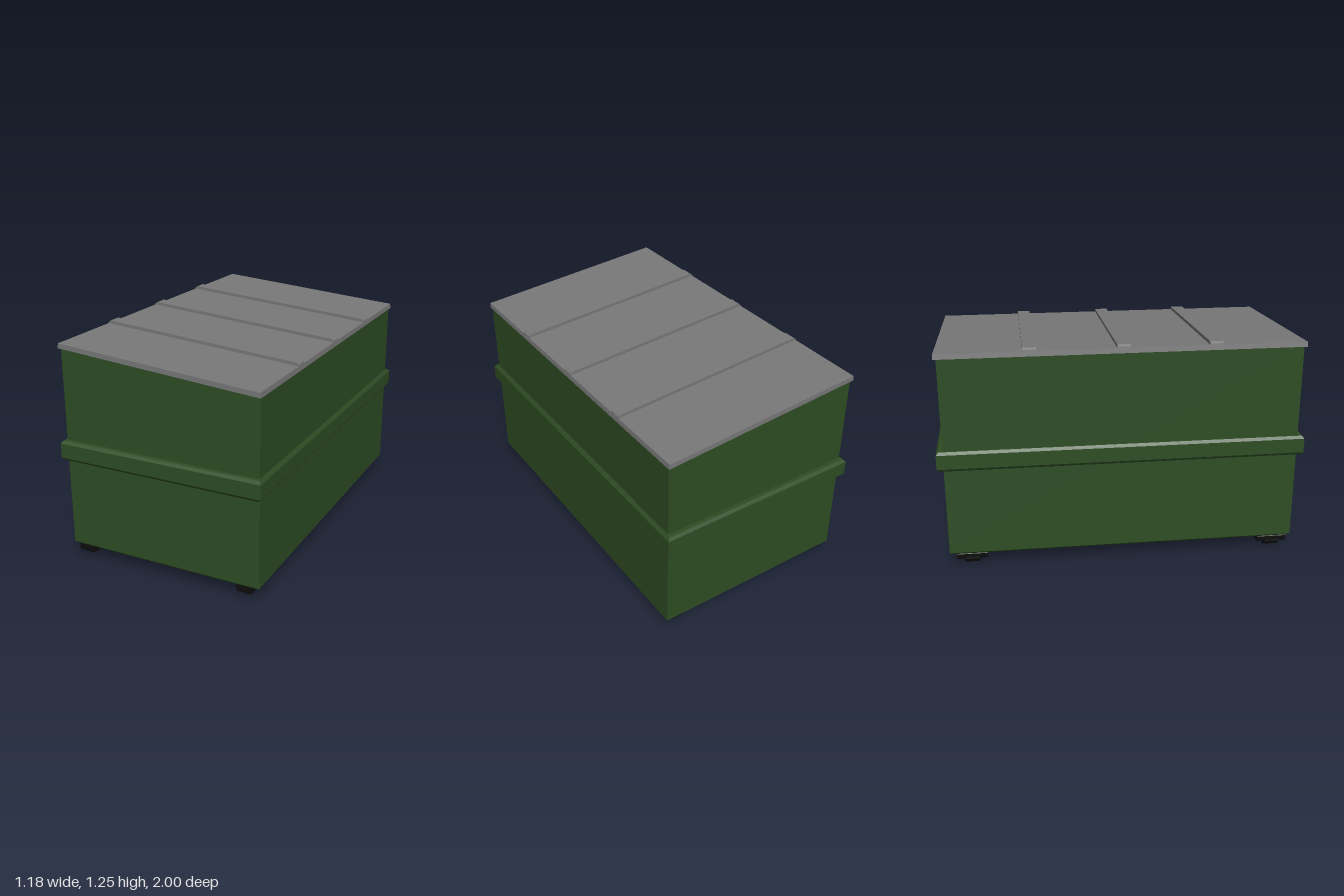
import * as THREE from 'three';

const green = new THREE.MeshStandardMaterial({ color: 0x2e4c23 });
green.name = 'dark green paint';
const grey = new THREE.MeshStandardMaterial({ color: 0x787878 });
grey.name = 'grey lid';
const black = new THREE.MeshStandardMaterial({ color: 0x0d0d0d });
black.name = 'black rubber';

// height change of the sloping top per unit of x
const SLOPE = -0.08;

function add(parent, name, geometry, material, x = 0, y = 0, z = 0) {
  const mesh = new THREE.Mesh(geometry, material);
  mesh.name = name;
  mesh.position.set(x, y, z);
  parent.add(mesh);
  return mesh;
}

// closed box-like solid through rectangular rings [y, half x, half z]
function stack(rings) {
  const pos = [];
  const corner = ([y, hx, hz], k) => [[hx, y, hz], [hx, y, -hz], [-hx, y, -hz], [-hx, y, hz]][k % 4];
  const quad = (a, b, c, d) => pos.push(...a, ...b, ...c, ...a, ...c, ...d);
  for (let i = 0; i < rings.length - 1; i++) {
    for (let k = 0; k < 4; k++) {
      quad(corner(rings[i], k), corner(rings[i], k + 1), corner(rings[i + 1], k + 1), corner(rings[i + 1], k));
    }
  }
  const lo = rings[0], hi = rings[rings.length - 1];
  quad(corner(lo, 3), corner(lo, 2), corner(lo, 1), corner(lo, 0));
  quad(corner(hi, 0), corner(hi, 1), corner(hi, 2), corner(hi, 3));
  const g = new THREE.BufferGeometry();
  g.setAttribute('position', new THREE.Float32BufferAttribute(pos, 3));
  g.computeVertexNormals();
  return g;
}

// shears every vertex above a height along the slope of the lid
function slant(g, above = -Infinity) {
  const p = g.attributes.position;
  for (let i = 0; i < p.count; i++) {
    if (p.getY(i) > above) p.setY(i, p.getY(i) + p.getX(i) * SLOPE);
  }
  g.computeVertexNormals();
  return g;
}

// outline in x and y, extruded along z and centred
function prism(points, depth) {
  const shape = new THREE.Shape(points.map(([x, y]) => new THREE.Vector2(x, y)));
  return new THREE.ExtrudeGeometry(shape, { depth, bevelEnabled: false }).translate(0, 0, -depth / 2);
}

export function createModel() {
  const group = new THREE.Group();
  group.name = 'wheeled bin';

  // container with a chamfered base and a sloping top
  add(group, 'container', slant(stack([
    [0.075, 0.555, 0.952], [0.088, 0.568, 0.965], [1.163, 0.568, 0.965],
  ]), 1), green);

  // raised band around the middle
  add(group, 'band', stack([
    [0.587, 0.577, 0.987], [0.602, 0.588, 1], [0.683, 0.588, 1], [0.698, 0.577, 0.987],
  ]), green);

  // sloping lid with three ribs across it
  add(group, 'lid', slant(prism([
    [-0.577, 1.16], [0.576, 1.16], [0.573, 1.187], [-0.573, 1.187],
  ], 1.96)), grey);
  for (const z of [-0.49, 0, 0.49]) {
    add(group, 'lidRib', slant(prism([
      [-0.573, 1.18], [0.573, 1.18], [0.571, 1.195], [0.558, 1.205], [-0.558, 1.205], [-0.571, 1.195],
    ], 0.072)), grey, 0, 0, z);
  }

  // four castors
  const wheel = new THREE.CylinderGeometry(0.042, 0.042, 0.08, 9).toNonIndexed();
  wheel.rotateX(Math.PI / 2);
  wheel.computeVertexNormals();
  const housing = prism([
    [-0.034, 0.034], [0.034, 0.034], [0.042, 0.044], [0.042, 0.066], [0.035, 0.077],
    [-0.035, 0.077], [-0.042, 0.066], [-0.042, 0.044],
  ], 0.167);
  for (const x of [-0.505, 0.472]) {
    for (const z of [0.866, -0.844]) {
      const castor = new THREE.Group();
      castor.name = 'castor';
      castor.position.set(x, 0, z);
      add(castor, 'wheel', wheel, black, 0, 0.042, 0);
      add(castor, 'wheelHousing', housing, black);
      group.add(castor);
    }
  }
  return group;
}
